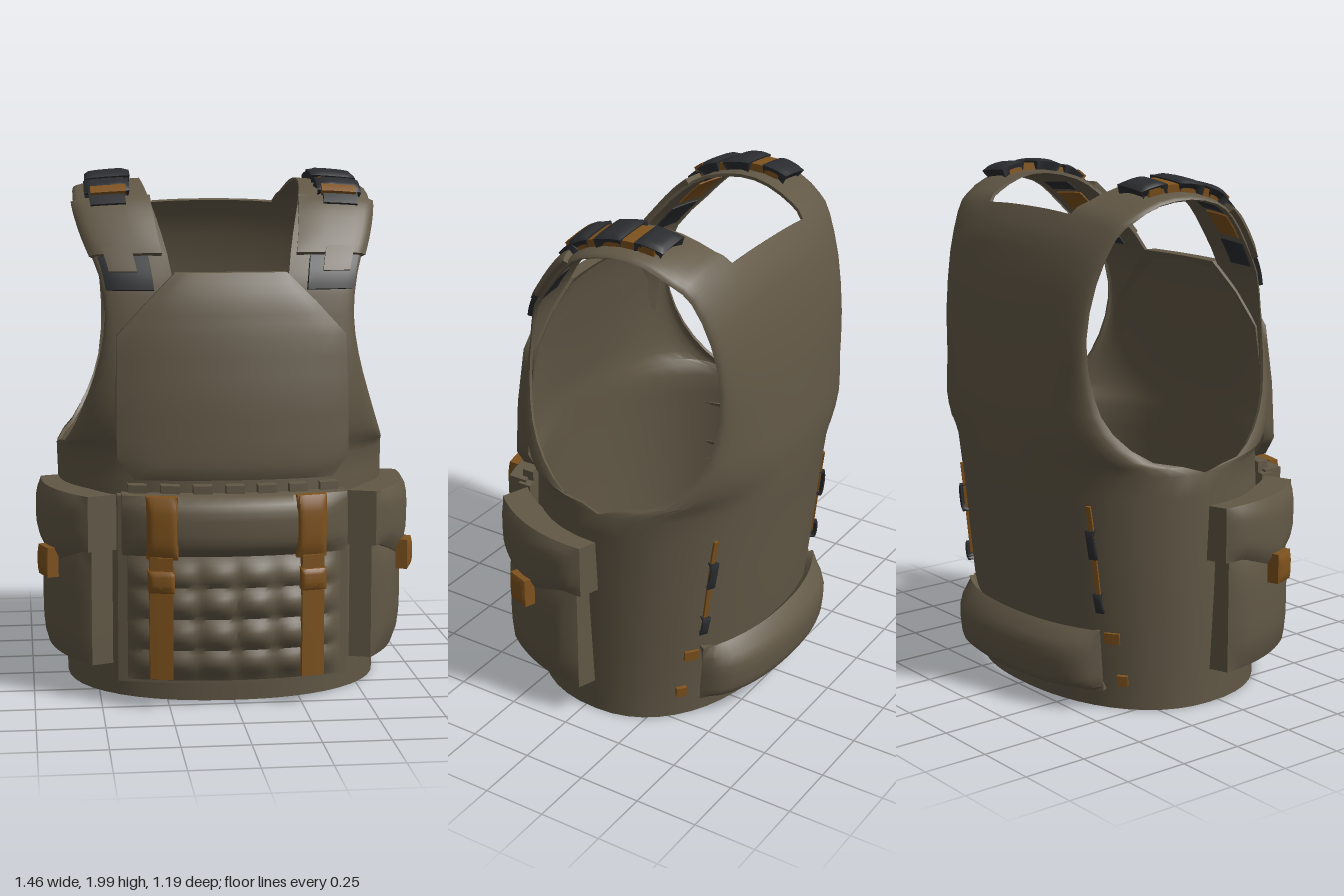
import * as THREE from 'three';
import { mergeVertices, toCreasedNormals } from 'three/addons/utils/BufferGeometryUtils.js';

const HALF = Math.PI / 2;
const lerp = THREE.MathUtils.lerp;

// Vest rows, from the front hem up over the shoulder and down to the back hem:
// centre height, centre z, edge x, edge height, edge z, neck x
const FRONT = [
  [0, .455, .61, 0, -.05, .22], [.15, .46, .615, .15, -.05, .22], [.45, .46, .63, .45, -.06, .22],
  [.75, .45, .64, .75, -.08, .22], [.92, .44, .645, .915, -.1, .22], [1, .435, .62, .945, .07, .22],
  [1.08, .43, .58, 1.03, .19, .22], [1.18, .415, .535, 1.15, .27, .22], [1.3, .395, .49, 1.3, .31, .22],
  [1.45, .365, .47, 1.45, .31, .22], [1.6, .33, .49, 1.6, .27, .22],
];
const STRAP = [
  [1.75, .225, .54, 1.73, .165, .25], [1.855, .13, .57, 1.83, .075, .28], [1.92, .03, .575, 1.885, 0, .3],
  [1.955, -.12, .57, 1.91, -.12, .31], [1.945, -.25, .555, 1.895, -.25, .3], [1.9, -.37, .53, 1.84, -.35, .28],
];
const BACK = [
  [1.86, -.43, .5, 1.78, -.41, .255], [1.72, -.51, .465, 1.62, -.47, .23], [1.45, -.56, .445, 1.42, -.5, .22],
  [1.25, -.575, .46, 1.22, -.48, .22], [1.1, -.585, .51, 1.08, -.43, .22], [1, -.58, .58, .97, -.3, .22],
  [.92, -.575, .645, .915, -.1, .22], [.75, -.555, .64, .75, -.08, .22], [.45, -.525, .63, .45, -.06, .22],
  [.15, -.49, .615, .15, -.05, .22], [0, -.475, .61, 0, -.05, .22],
];
const ROWS = [...FRONT, ...STRAP, ...BACK];

// Row at any v: straight below the armholes, a smooth spline above
function rowAt(v) {
  const i = Math.min(Math.max(Math.floor(v), 0), ROWS.length - 2), f = v - i;
  const b = ROWS[i], c = ROWS[i + 1];
  if (i < 4 || i > 22) return b.map((n, k) => lerp(n, c[k], f));
  const a = ROWS[i - 1], d = ROWS[i + 2];
  return b.map((n, k) => n + .5 * f * (c[k] - a[k] + f * (2 * a[k] - 5 * n + 4 * c[k] - d[k]
    + f * (3 * (n - c[k]) + d[k] - a[k]))));
}

// Point on the vest surface at row v and angle a (0 centre, +-HALF edge)
function body(v, a) {
  const [yi, zi, xo, yo, zo] = rowAt(v);
  const s = Math.sin(a);
  const f = Math.pow(Math.max(0, 1 - Math.pow(Math.abs(s), 2.2)), 1 / 2.2);
  return new THREE.Vector3(xo * s, lerp(yo, yi, f), lerp(zo, zi, f));
}

// Grid of f(s, t) with s and t from -1 to 1
function sheet(f, nu, nv, keep = () => true) {
  const pos = [], idx = [], w = nu + 1;
  for (let i = 0; i <= nv; i++)
    for (let j = 0; j <= nu; j++) pos.push(...f(j / nu * 2 - 1, i / nv * 2 - 1, j, i));
  for (let i = 0; i < nv; i++)
    for (let j = 0; j < nu; j++) {
      if (!keep(j, i)) continue;
      const a = i * w + j;
      idx.push(a, a + 1, a + w + 1, a, a + w + 1, a + w);
    }
  const g = new THREE.BufferGeometry();
  g.setAttribute('position', new THREE.Float32BufferAttribute(pos, 3));
  g.setIndex(idx);
  return g;
}

// Close a sheet into a slab, pushed back along its normals or along dir
function thicken(geo, depth, dir) {
  const g = mergeVertices(geo);
  g.computeVertexNormals();
  const p = g.attributes.position, n = g.attributes.normal, c = p.count;
  const pos = [...p.array], idx = [...g.index.array], edges = new Map(), d = new THREE.Vector3();
  for (let i = 0; i < c; i++) {
    if (dir) d.copy(dir); else d.fromBufferAttribute(n, i);
    pos.push(p.getX(i) - d.x * depth, p.getY(i) - d.y * depth, p.getZ(i) - d.z * depth);
  }
  for (let i = 0, m = idx.length; i < m; i += 3) {
    const t = [idx[i], idx[i + 1], idx[i + 2]];
    idx.push(t[2] + c, t[1] + c, t[0] + c);
    t.forEach((a, k) => edges.set(a + '_' + t[(k + 1) % 3], [a, t[(k + 1) % 3]]));
  }
  for (const [a, b] of edges.values())
    if (!edges.has(b + '_' + a)) idx.push(b, a, a + c, b, a + c, b + c);
  const out = new THREE.BufferGeometry();
  out.setAttribute('position', new THREE.Float32BufferAttribute(pos, 3));
  out.setIndex(idx);
  return out;
}

const puff = (s, t) => (1 - s ** 8) * (1 - t ** 4);

// Slab following the vest surface; angles are fractions of HALF
function overlay(v0, v1, a0, a1, lift, depth, bulge = 0, slant = 0, nu = 8) {
  return thicken(sheet((s, t) => {
    const v = lerp(v0, v1, (t + 1) / 2), a = (lerp(a0, a1, (s + 1) / 2) + slant * (t + 1) / 2) * HALF, e = .01;
    const da = body(v, a + e).sub(body(v, a - e)), dv = body(v + e, a).sub(body(v - e, a));
    return body(v, a).addScaledVector(da.cross(dv).normalize(), lift + bulge * puff(s, t));
  }, nu, 8), depth);
}

// Slab facing +z, curved back at the sides by curve * x squared
function panel(x0, x1, y0, y1, z, depth, { bulge = 0, curve = .4, relief, sag, nu = 12, nv = 8 } = {}) {
  return thicken(sheet((s, t) => {
    const x = lerp(x0, x1, (s + 1) / 2), low = sag ? sag(s) : 0;
    const y = lerp(y0 - low, y1, (t + 1) / 2);
    return [x, y, z - curve * x * x + bulge * puff(s, t) + (relief ? relief(x, y) * puff(s, t) : 0)];
  }, nu, nv), depth, new THREE.Vector3(0, 0, 1));
}

function mirrored(geo) {
  const g = geo.clone().scale(-1, 1, 1), a = g.index.array;
  for (let i = 0; i < a.length; i += 3) [a[i], a[i + 1]] = [a[i + 1], a[i]];
  return g;
}

export function createModel() {
  const model = new THREE.Group();
  model.name = 'tacticalVest';
  const mat = (name, color) => Object.assign(new THREE.MeshStandardMaterial({ color }), { name });
  const fabric = mat('oliveFabric', 0x625846);
  const webbing = mat('orangeWebbing', 0x7e521d);
  const plastic = mat('blackPlastic', 0x2b2c2f);
  const add = (name, geo, material) => {
    const m = new THREE.Mesh(toCreasedNormals(geo, .75), material);
    m.name = name;
    model.add(m);
  };
  const pair = (name, geo, material) => {
    add(name + 'Left', geo, material);
    add(name + 'Right', mirrored(geo), material);
  };

  // Main shell: columns inside the neck are left out between the two necklines
  const N = 13, K = 4, top = 2 * (FRONT.length - 1), end = top + 2 * (STRAP.length + 1);
  const shell = sheet((s, t, j, i) => {
    const r = rowAt(i / 2), k = Math.abs(j - N), neck = Math.asin(r[5] / r[2]);
    const a = k <= K ? neck * k / K : lerp(neck, HALF, (k - K) / (N - K));
    return body(i / 2, Math.sign(j - N) * a);
  }, 2 * N, 2 * (ROWS.length - 1), (j, i) => i < top || i >= end || j < N - K || j >= N + K);
  add('vestShell', thicken(shell, .012), fabric);

  // Chest plate pocket with cut corners
  const outline = [[.85, .37, .5], [.93, .435, .5], [1.15, .435, .485], [1.38, .43, .45], [1.5, .32, .42], [1.61, .21, .375]];
  add('chestPlate', thicken(sheet((s, t, j, i) => {
    const n = Math.min(Math.floor(i / 3), 4);
    const [y, w, z] = outline[n].map((o, k) => lerp(o, outline[n + 1][k], i / 3 - n));
    const x = w * s;
    return [x, y, z - .32 * x * x - .012 * Math.max(s ** 8, t ** 12)];
  }, 16, 15), .055, new THREE.Vector3(0, 0, 1)), fabric);

  // Front pouch: backing, quilted webbing field, flap and loops
  add('frontBacking', panel(-.435, .435, .08, .79, .5, .055), fabric);
  const quilt = (x, y) => .03 * Math.abs(Math.sin((y - .1) / .1175 * Math.PI)) * (.3 + .7 * Math.abs(Math.sin(x * 22)));
  add('frontPouch', panel(-.4, .4, .1, .575, .535, .06, { bulge: .018, relief: quilt, nu: 48, nv: 28 }), fabric);
  add('frontFlap', panel(-.42, .42, .575, .8, .55, .08, { bulge: .045 }), fabric);
  for (let i = 0; i < 7; i++) {
    const x = -.36 + i * .12;
    add('topLoop' + i, panel(x - .035, x + .035, .785, .83, .495, .05, { nu: 2, nv: 2 }), fabric);
  }

  // Orange closing straps with buckles
  pair('flapStrap', panel(.22, .335, .57, .803, .587, .04, { bulge: .02 }), webbing);
  pair('pouchStrap', panel(.24, .325, .12, .58, .602, .05), webbing);
  pair('pouchBuckle', panel(.235, .33, .45, .53, .615, .06, { bulge: .01 }), webbing);

  // Side pouches, turned outward and mirrored
  const place = g => g.rotateY(1.234).translate(.59, 0, .17);
  pair('sidePouch', place(panel(-.235, .215, .135, .6, .06, .085, { bulge: .03, curve: .7 })), fabric);
  const tongue = s => .07 * Math.max(0, 1 - Math.abs(s + .1) * 1.3);
  pair('sideFlap', place(panel(-.25, .255, .575, .785, .09, .115, { bulge: .025, curve: .8, sag: tongue, nu: 20 })), fabric);
  pair('sideTab', place(panel(-.07, .025, .45, .565, .135, .045, { bulge: .01, curve: 0 })), webbing);

  // Back roll along the hem
  add('backRoll', overlay(25.43, 26.5, -.47, .47, .025, .035, .075, 0, 24), fabric);

  // Parts that repeat on both shoulders and flanks
  const both = (name, v0, v1, a0, a1, material, ...rest) => pair(name, overlay(v0, v1, a0, a1, ...rest), material);
  both('strapPad', 10.45, 12.3, .33, .93, fabric, .02, .025, .008);
  both('strapAnchor', 9.62, 10.4, .41, .82, plastic, .018, .022);
  both('strapTongue', 10.03, 10.6, .5, .73, fabric, .026, .028);
  both('shoulderWebbing', 12.3, 15, .46, .7, webbing, .028, .03);
  both('frontBuckleTongue', 11.85, 12.4, .46, .7, plastic, .036, .022);
  both('frontBuckle', 12.4, 13.15, .43, .74, plastic, .035, .04, .014);
  both('frontBuckleWebbing', 12.25, 12.6, .45, .68, webbing, .048, .022);
  both('middleBuckle', 13.35, 14.1, .42, .73, plastic, .034, .035, .012);
  both('rearBuckle', 14.45, 15.25, .45, .71, plastic, .034, .035, .01);

  // Patches on the underside of the shoulder straps
  both('innerPatchFront', 10.2, 10.9, .46, .78, plastic, -.009, .009);
  both('innerPatchMiddle', 11.1, 12, .48, .75, webbing, -.009, .009);
  both('innerPatchUpper', 12.2, 12.75, .48, .75, plastic, -.009, .009);
  both('innerPatchRear', 14.1, 14.8, .46, .75, plastic, -.009, .009);

  // Adjusting cords on the rear flanks
  both('flankCord', 23.7, 25.1, .435, .455, webbing, .01, .014, 0, .02);
  both('flankToggleUpper', 24.13, 24.5, .43, .47, plastic, .022, .03, .006, .01);
  both('flankToggleLower', 24.95, 25.2, .445, .485, plastic, .022, .03, .006, .01);
  both('flankTabUpper', 25.48, 25.62, .48, .55, webbing, .01, .014);
  both('flankTabLower', 26.08, 26.35, .53, .58, webbing, .015, .02);

  return model;
}
